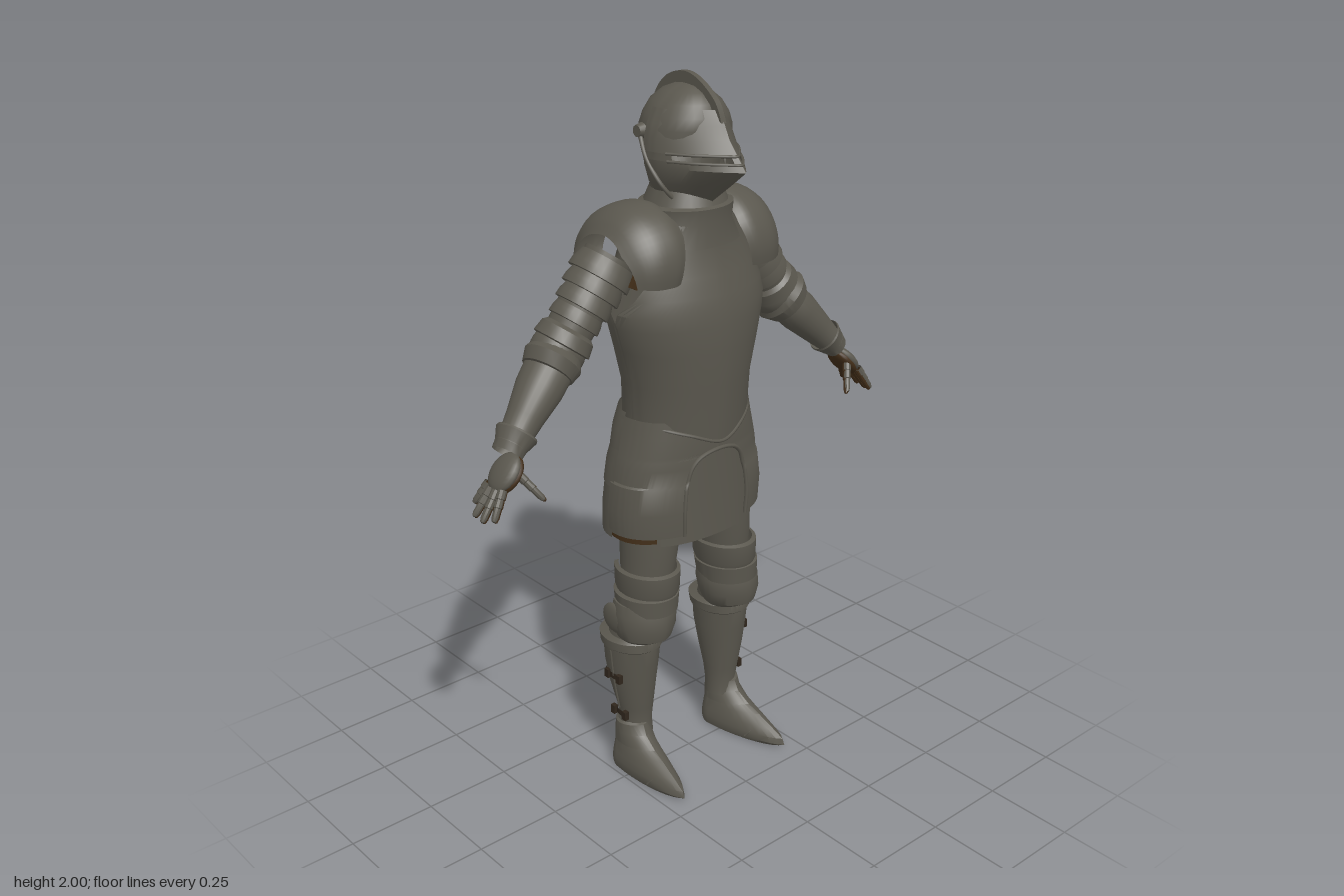
import * as THREE from 'three';
import { toCreasedNormals } from 'three/addons/utils/BufferGeometryUtils.js';

const PI = Math.PI;
const V = (x, y, z) => new THREE.Vector3(x, y, z);
const steel = new THREE.MeshStandardMaterial({ color: 0x5a574e, side: THREE.DoubleSide });
steel.name = 'steel';
const leather = new THREE.MeshStandardMaterial({ color: 0x412d18, side: THREE.DoubleSide });
leather.name = 'leather';
const strapLeather = new THREE.MeshStandardMaterial({ color: 0x2f261c, side: THREE.DoubleSide });
strapLeather.name = 'dark strap';

function add(parent, name, geo, mat = steel) {
  const mesh = new THREE.Mesh(geo, mat);
  mesh.name = name;
  parent.add(mesh);
  return mesh;
}

// Surface from a grid of points; f(i, j) gives [x, y, z]
function grid(ni, nj, f) {
  const pos = [], idx = [];
  for (let i = 0; i <= ni; i++) for (let j = 0; j <= nj; j++) pos.push(...f(i, j));
  for (let i = 0; i < ni; i++) for (let j = 0; j < nj; j++) {
    const a = i * (nj + 1) + j, b = a + nj + 1;
    idx.push(a, a + 1, b + 1, a, b + 1, b);
  }
  const g = new THREE.BufferGeometry();
  g.setAttribute('position', new THREE.Float32BufferAttribute(pos, 3));
  g.setIndex(idx);
  return toCreasedNormals(g, 0.6);
}

// Point on a cross-section [y, cx, rx, zFront, zBack]; angle 0 is the front
function ringPoint([y, cx, rx, zf, zb], t, { cz, point = 0, full = 1 } = {}) {
  const c = cz ?? (zf + zb) / 2, s = Math.sin(t), k = Math.cos(t);
  const x = cx + rx * Math.sign(s) * Math.abs(s) ** full;
  const z = k > 0 ? c + (zf - c) * ((1 - point) * k ** full + point * (1 - Math.abs(s)))
    : c - (c - zb) * Math.abs(k) ** full;
  return [x, y, z];
}

// Shell through cross-sections listed upward; entries 5 and 6 limit the arc
function loft(rows, opt = {}) {
  const n = opt.n ?? 32;
  return grid(rows.length - 1, n, (i, j) => {
    const r = rows[i], a = r[5] ?? opt.a0 ?? -PI, b = r[6] ?? opt.a1 ?? PI;
    const p = ringPoint(r, a + (b - a) * j / n, opt);
    return opt.warp ? opt.warp(p) : p;
  });
}

// Tapered shell from a to b with rows [t, radius, depth]
function limb(parent, name, a, b, rows, mat = steel, n = 24) {
  const d = b.clone().sub(a), len = d.length();
  const m = add(parent, name, loft(rows.map(([t, r, z = r]) => [t * len, 0, r, z, -z]), { n }), mat);
  m.position.copy(a);
  m.quaternion.setFromUnitVectors(V(0, 1, 0), d.normalize());
  return m;
}

function rim(parent, name, pts, r = 0.005) {
  add(parent, name, new THREE.TubeGeometry(new THREE.CatmullRomCurve3(pts), 40, r, 6));
}

function buildHelmet(root) {
  const h = new THREE.Group(); h.name = 'helmet'; root.add(h);
  const o = { cz: -0.01 };
  add(h, 'skull', loft([[1.83, 0, .119, .1, -.137], [1.87, 0, .116, .108, -.138], [1.9, 0, .104, .104, -.13],
    [1.93, 0, .085, .088, -.112], [1.955, 0, .055, .06, -.08], [1.968, 0, .028, .03, -.045], [1.972, 0, 0, -.01, -.01]], o));
  add(h, 'napePlate', loft([[1.7, 0, .095, .06, -.112], [1.725, 0, .098, .07, -.1], [1.77, 0, .108, .08, -.118],
    [1.83, 0, .119, .1, -.137]], { ...o, a0: 1.4, a1: 2 * PI - 1.4 }));
  // Pointed visor, split around the eye slit
  const vo = { cz: -0.01, point: 0.55, a0: -1.75, a1: 1.75 };
  const slit = [[1.797, 0, .127, .198, -.13], [1.816, 0, .127, .182, -.13]];
  add(h, 'visorUpper', loft([slit[1], [1.85, 0, .124, .152, -.13], [1.885, 0, .114, .134, -.13], [1.92, 0, .096, .112, -.12]], vo));
  add(h, 'visorLower', loft([[1.665, 0, .062, .07, -.07], [1.69, 0, .082, .095, -.09], [1.735, 0, .113, .155, -.11],
    [1.78, 0, .125, .212, -.13], slit[0]], vo));
  for (const [a0, a1] of [[-1.75, -1], [-.1, .1], [1, 1.75]]) add(h, 'visorBridge', loft(slit, { ...vo, a0, a1, n: 8 }));
  for (const row of slit) rim(h, 'slitRim', [-1.1, -.7, -.4, -.15, 0, .15, .4, .7, 1.1].map(t => V(...ringPoint(row, t, vo))), .004);
  // Crest over the skull
  const s = new THREE.Shape();
  s.moveTo(.13, 1.89);
  s.splineThru([[.105, 1.94], [.045, 1.985], [-.015, 2], [-.08, 1.98], [-.125, 1.93], [-.142, 1.86]].map(p => new THREE.Vector2(...p)));
  s.lineTo(-.11, 1.85); s.lineTo(-.05, 1.93); s.lineTo(.05, 1.93);
  const crest = new THREE.ExtrudeGeometry(s, { depth: .006, bevelEnabled: true, bevelSize: 0, bevelThickness: .005, bevelSegments: 1 });
  add(h, 'crest', crest.translate(0, 0, -.003).rotateY(-PI / 2));
  for (const sx of [-1, 1]) {
    const pin = add(h, 'visorPivot', new THREE.CylinderGeometry(.015, .02, .018, 16).rotateZ(-sx * PI / 2));
    pin.position.set(sx * .122, 1.86, -.05);
    rim(h, 'visorArm', [V(sx * .122, 1.86, -.05), V(sx * .127, 1.8, -.02), V(sx * .112, 1.735, .02), V(sx * .07, 1.68, .04)], .006);
  }
  add(h, 'gorget', loft([[1.57, 0, .16, .108, -.15], [1.63, 0, .125, .1, -.14], [1.67, 0, .128, .105, -.135],
    [1.675, 0, .11, .095, -.125], [1.725, 0, .092, .075, -.1]], o));
}

function buildTorso(root) {
  const g = new THREE.Group(); g.name = 'cuirass'; root.add(g);
  // Rows of [y, rx, zFront, zBack, half arc]; the arc narrows at the armholes
  const rows = [[1.1, .184, .136, -.15, 1.6], [1.2, .188, .146, -.147, 1.6], [1.3, .214, .153, -.15, 1.6], [1.37, .234, .151, -.152, 1.6],
    [1.41, .24, .147, -.153, 1.5], [1.45, .232, .138, -.154, 1.2], [1.5, .212, .122, -.155, 1], [1.55, .19, .107, -.155, .98],
    [1.6, .155, .1, -.15, 1.2], [1.66, .112, .1, -.135, 1.5]];
  const V_waist = ([x, y, z]) => [x, y - Math.max(0, 1.2 - y) * .6 * Math.max(0, 1 - Math.abs(x) / .18), z];
  const arcs = c => rows.map(([y, rx, zf, zb, h]) => [y, 0, rx, zf, zb, c - h, c + h]);
  const o = { cz: -0.02, full: .9 };
  add(g, 'breastplate', loft(arcs(0), { ...o, point: .12, warp: V_waist }));
  add(g, 'backplate', loft(arcs(PI), o));
  rim(g, 'waistRim', [-1.5, -1, -.5, 0, .5, 1, 1.5].map(t => V(...V_waist(ringPoint(arcs(0)[0], t, { ...o, point: .12 })))));
}

function buildSkirt(root) {
  const g = new THREE.Group(); g.name = 'skirt'; root.add(g);
  const o = { cz: -0.03, full: .9 };
  // Front hip plates meet above an arched opening
  const front = [[.78, .246, .122, .43], [.85, .25, .126, .43], [.925, .24, .122, .41], [.93, .234, .121, .41],
    [.975, .228, .121, .35], [1, .222, .121, .24], [1.012, .219, .121, 0], [1.06, .207, .12, 0], [1.11, .196, .118, 0]];
  for (const sx of [-1, 1]) {
    const ring = front.map(([y, rx, zf, a]) => [y, 0, rx, zf, -.18, sx > 0 ? a : -1.68, sx > 0 ? 1.68 : -a]);
    add(g, 'tasset', loft(ring, o));
  }
  const left = front.slice(0, 7).map(([y, rx, zf, a]) => V(...ringPoint([y, 0, rx, zf, -.18], a, o)));
  const right = left.slice(0, -1).reverse().map(p => V(-p.x, p.y, p.z));
  rim(g, 'archRim', [...left, ...right], .006);
  add(g, 'frontPanel', loft([[.75, 0, .225, .112, -.17], [.9, 0, .22, .108, -.17], [1.04, 0, .2, .108, -.16]],
    { ...o, a0: -.8, a1: .8 }));
  // Overlapping lames behind
  for (const [y0, y1, r0, r1, z0, z1] of [[.765, .93, .247, .236, -.19, -.18], [.91, 1.03, .24, .215, -.187, -.165], [1.01, 1.12, .22, .192, -.172, -.158]])
    add(g, 'backLame', loft([[y0, 0, r0, .12, z0], [(y0 + y1) / 2, 0, (r0 + r1) / 2 + .004, .12, (z0 + z1) / 2 - .004], [y1, 0, r1, .12, z1]],
      { ...o, a0: 1.6, a1: 2 * PI - 1.6 }));
  add(g, 'hemLining', loft([[.757, 0, .232, .1, -.178], [.92, 0, .222, .1, -.165]], { ...o, a0: .8, a1: 2 * PI - .8 }), leather);
}

function buildArm(root, sx) {
  const g = new THREE.Group(); g.name = sx > 0 ? 'leftArm' : 'rightArm'; g.scale.x = sx; root.add(g);
  // Shoulder plate arched from chest to back
  const prof = new THREE.CatmullRomCurve3([V(.095, .95, 0), V(.13, 1.03, 0), V(.18, 1, 0), V(.225, .86, 0), V(.262, .6, 0)]);
  add(g, 'pauldron', grid(28, 14, (i, j) => {
    const f = THREE.MathUtils.lerp(-1.8, 1.98, i / 28), p = prof.getPoint(j / 14), low = Math.max(0, Math.abs(f) - 1);
    const k = p.y + (1 - p.y) * Math.min(1, low) * .6;
    return [p.x + (.2 - p.x) * low * .35, 1.53 + .152 * k * Math.cos(f), -.03 - (f > 0 ? .19 : .148) * k * Math.sin(f)];
  }));
  const sh = V(.2, 1.575, -.055), el = V(.385, 1.33, -.07), wr = V(.575, 1.14, -.02);
  for (let i = 0; i < 4; i++) {
    const t = .14 + i * .14, r = .086 - i * .005;
    limb(g, 'armLame', sh, el, [[t, r - .012], [t + .1, r - .002], [t + .17, r], [t + .175, r - .008]]);
  }
  limb(g, 'upperArm', sh, el, [[.1, .07], [.5, .066], [1, .06]]);
  const strap = add(g, 'shoulderStrap', new THREE.BoxGeometry(.022, .06, .012), leather);
  strap.position.set(.21, 1.515, .04); strap.rotation.z = .5;
  // Elbow cup with flared edges
  const cup = add(g, 'elbowCup', new THREE.SphereGeometry(.072, 24, 16));
  cup.position.copy(el); cup.scale.set(1.05, 1.05, .98);
  limb(g, 'elbowLame', sh, el, [[.78, .06], [.82, .074], [.93, .08], [.94, .072]]);
  limb(g, 'elbowCuff', el, wr, [[.02, .07], [.1, .084, .078], [.22, .07], [.23, .058]]);
  limb(g, 'vambrace', el, wr, [[.08, .056], [.2, .061, .066], [.4, .06, .064], [.7, .049, .05], [.95, .039, .042], [1, .042, .044]]);
  limb(g, 'gauntletCuff', el, wr, [[.86, .05, .055], [.88, .052, .057], [1, .041, .044], [1.08, .035, .042]]);
  // Hand: steel above, leather beneath
  const dir = V(.65, -.76, 0), under = V(-.76, -.65, 0);
  const palm = V(.612, 1.085, 0);
  for (const [name, mat, off] of [['handPlate', steel, 0], ['palm', leather, .012]]) {
    const m = add(g, name, new THREE.SphereGeometry(1, 18, 12), mat);
    m.scale.set(.02, .055, .048);
    m.quaternion.setFromUnitVectors(V(0, 1, 0), dir);
    m.position.copy(palm).addScaledVector(under, off);
  }
  const fingers = [[.64, 1.055, .03, .678, .992, .045], [.645, 1.05, .01, .692, .985, .016],
    [.645, 1.05, -.012, .693, .99, -.016], [.638, 1.055, -.032, .668, 1.005, -.052], [.592, 1.085, .03, .552, 1.022, .072]];
  for (const [x, y, z, u, v, w] of fingers) {
    const a = V(x, y, z), b = V(u, v, w);
    const rows = [[0, .012], [.3, .0125], [.32, .0105], [.6, .0115], [.62, .0095], [.95, .009], [1.08, .006], [1.12, 0]];
    limb(g, 'finger', a, b, rows, steel, 10);
    limb(g, 'fingerLining', a.clone().addScaledVector(under, .005), b.clone().addScaledVector(under, .005),
      rows.map(([t, r]) => [t, r * .85]), leather, 10);
  }
}

function buildLeg(root, sx) {
  const g = new THREE.Group(); g.name = sx > 0 ? 'leftLeg' : 'rightLeg'; g.scale.x = sx; root.add(g);
  add(g, 'thigh', loft([[.5, .155, .066, .045, -.085], [.6, .145, .07, .06, -.09], [.7, .137, .077, .072, -.1], [.8, .128, .084, .076, -.11], [.95, .12, .09, .07, -.12]]));
  // Knee plates, open behind
  const open = { a0: -2.5, a1: 2.5 };
  add(g, 'kneeLame', loft([[.575, .147, .076, .078, -.1], [.6, .146, .083, .09, -.112], [.655, .144, .086, .09, -.114], [.66, .143, .076, .078, -.1]], open));
  add(g, 'kneeLame', loft([[.535, .152, .084, .086, -.1], [.585, .15, .088, .088, -.108], [.59, .15, .074, .076, -.1]], open));
  add(g, 'kneeCup', loft([[.435, .162, .062, .045, -.08], [.455, .162, .08, .078, -.09], [.49, .16, .09, .088, -.1], [.53, .157, .092, .086, -.108],
    [.56, .155, .085, .078, -.104], [.565, .155, .07, .065, -.09]], { a0: -2.1, a1: 2.1, point: .15 }));
  const wing = add(g, 'kneeWing', new THREE.SphereGeometry(1, 20, 12));
  wing.scale.set(.016, .045, .05); wing.position.set(.236, .505, -.045);
  add(g, 'greave', loft([[.11, .166, .047, .006, -.092], [.15, .165, .045, 0, -.09], [.2, .167, .051, .008, -.1], [.28, .17, .065, .018, -.122],
    [.35, .17, .074, .027, -.137], [.405, .17, .077, .034, -.142], [.41, .17, .083, .04, -.152], [.435, .169, .085, .038, -.155], [.445, .168, .07, .03, -.12], [.52, .16, .066, .04, -.09]]));
  rim(g, 'greaveSeam', [[.4, .08, .137], [.3, .069, .122], [.2, .052, .1]].map(([y, r]) => V(.17 + r * .99, y, -.052)), .003);
  // Strap and buckle pairs on the calf
  for (const [y, rx, zf, zb] of [[.315, .074, .028, -.135], [.185, .054, .012, -.102]]) {
    add(g, 'calfStrap', loft([[y - .009, .169, rx, zf, zb], [y + .009, .169, rx, zf, zb]], { a0: 1.15, a1: 2.35, n: 10 }), strapLeather);
    for (const z of [-.025, -.075])
      add(g, 'buckle', new THREE.BoxGeometry(.014, .026, .016), strapLeather).position.set(.169 + rx * .98, y, z);
  }
  // Pointed shoe with stepped plates, turned slightly outward
  const foot = new THREE.Group(); foot.name = 'foot';
  foot.position.set(.175, 0, -.05); foot.rotation.y = .09; g.add(foot);
  const o = { cz: 0, point: .25 };
  add(foot, 'shoe', loft([[0, 0, 0, 0, 0], [0, 0, .058, .235, -.052], [.012, 0, .061, .258, -.055], [.03, 0, .061, .25, -.055], [.05, 0, .058, .21, -.053],
    [.075, 0, .053, .155, -.05], [.1, 0, .049, .095, -.047], [.125, 0, .046, .062, -.045], [.14, 0, .045, .05, -.044]], o));
  add(foot, 'ankleLame', loft([[.085, 0, .052, .125, -.05], [.12, 0, .051, .07, -.049], [.15, 0, .049, .056, -.047], [.155, 0, .042, .045, -.04]], o));
  for (const z of [.09, .13, .17]) {
    const h = .122 - z * .4, w = .056 - z * .06;
    rim(foot, 'shoeLame', [V(-w, .012, z - .03), V(-w * .8, h * .6, z - .015), V(0, h, z), V(w * .8, h * .6, z - .015), V(w, .012, z - .03)], .004);
  }
}

export function createModel() {
  const root = new THREE.Group();
  root.name = 'plateArmour';
  buildHelmet(root);
  buildTorso(root);
  buildSkirt(root);
  for (const sx of [1, -1]) {
    buildArm(root, sx);
    buildLeg(root, sx);
  }
  return root;
}
